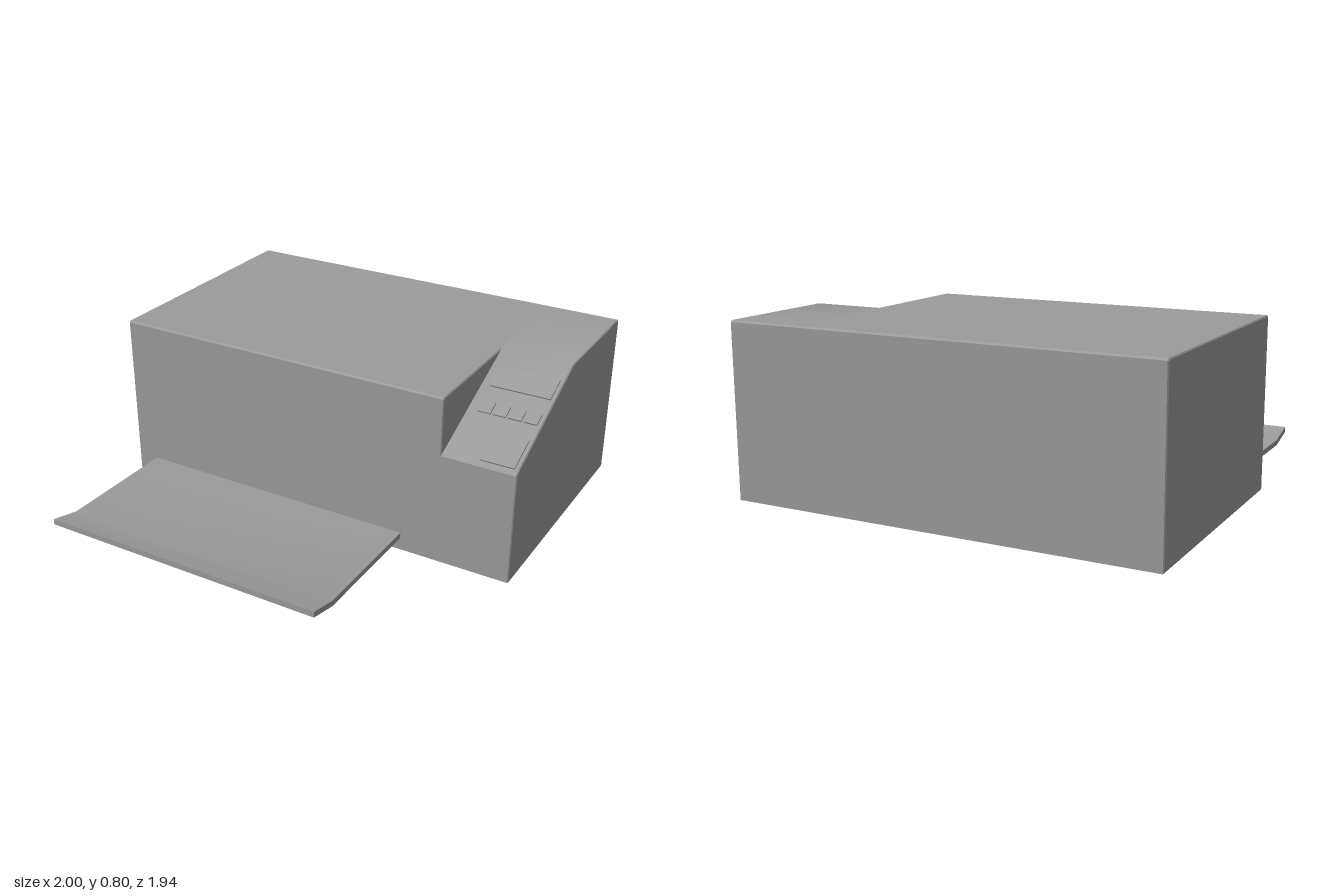
import * as THREE from 'three';
import { toCreasedNormals } from 'three/addons/utils/BufferGeometryUtils.js';

const grey = new THREE.MeshStandardMaterial({ color: 0x9c9c9c });

// Extrudes a side profile of [z, y] points from x0 to x1, chamfering the ends by bevel
function sideExtrude(name, profile, x0, x1, bevel) {
  const shape = new THREE.Shape(profile.map(([z, y]) => new THREE.Vector2(-z, y)));
  const geo = new THREE.ExtrudeGeometry(shape, {
    depth: x1 - x0 - 2 * bevel,
    bevelEnabled: bevel > 0,
    bevelSize: bevel, bevelThickness: bevel, bevelOffset: -bevel, bevelSegments: 1,
  });
  geo.rotateY(Math.PI / 2).translate(x0 + bevel, 0, 0);
  const mesh = new THREE.Mesh(toCreasedNormals(geo, Math.PI / 6), grey);
  mesh.name = name;
  return mesh;
}

export function createModel() {
  const model = new THREE.Group();
  model.name = 'printer';

  const front = 0.23, back = -0.97, top = 0.8, split = 0.658;
  const c = 0.008, bevel = 0.005;
  const slopeLow = 0.535, slopeBack = -0.365;

  // Main housing, with fine chamfers on its edges
  model.add(sideExtrude('housing', [
    [front, 0], [front, top - c], [front - c, top],
    [back + c, top], [back, top - c], [back, 0],
  ], -1, split, bevel));

  // Sloping control housing, its inner end tucked into the main housing
  model.add(sideExtrude('controlHousing', [
    [front, 0], [front, slopeLow - c], [front - c, slopeLow + 0.003], [slopeBack, top],
    [back + c, top], [back, top - c], [back, 0],
  ], split - 2 * bevel, 1, bevel));

  // Paper tray with upturned lip
  model.add(sideExtrude('paperTray', [
    [front - 0.03, 0.06], [0.825, 0.06], [0.97, 0.095],
    [0.97, 0.122], [0.825, 0.087], [front - 0.03, 0.087],
  ], -0.895, 0.475, 0));

  // Control panel: local z runs down the slope, y points out of it
  const angle = Math.atan2(top - slopeLow, front - slopeBack);
  const panel = new THREE.Group();
  panel.name = 'controlPanel';
  panel.position.set(0, slopeLow, front);
  panel.rotation.x = angle;
  model.add(panel);

  function addKey(name, x0, x1, z0, z1) {
    const length = (z1 - z0) / Math.cos(angle);
    const key = new THREE.Mesh(new THREE.BoxGeometry(x1 - x0, 0.014, length), grey);
    key.name = name;
    key.position.set((x0 + x1) / 2, 0, ((z0 + z1) / 2 - front) / Math.cos(angle));
    panel.add(key);
  }

  addKey('display', 0.7, 0.98, -0.265, -0.157);
  for (let i = 0; i < 4; i++) {
    const x = 0.705 + i * 0.071;
    addKey('smallButton', x, x + 0.06, -0.075, -0.018);
  }
  addKey('largeButton', 0.824, 0.98, 0.06, 0.208);

  return model;
}
